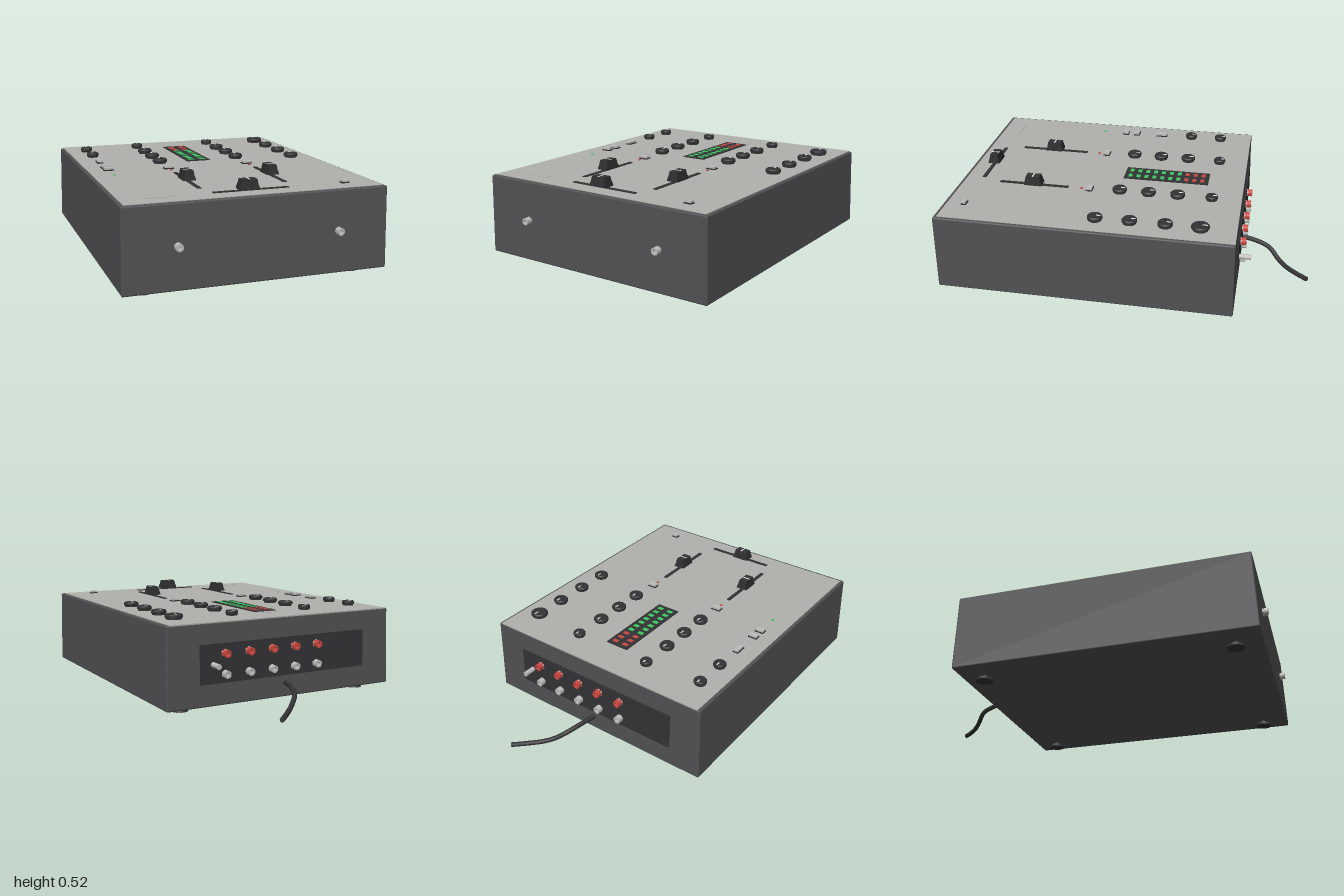
import * as THREE from 'three';
import { toCreasedNormals } from 'three/addons/utils/BufferGeometryUtils.js';
import { RoundedBoxGeometry } from 'three/addons/geometries/RoundedBoxGeometry.js';

const material = (name, color) => {
  const m = new THREE.MeshStandardMaterial({ color });
  m.name = name;
  return m;
};

const TOP = 0.458; // height of the control panel

export function createModel() {
  const model = new THREE.Group();
  model.name = 'audioMixer';

  const charcoal = material('charcoal', 0x525254);
  const panelGrey = material('panelGrey', 0xb0b0ad);
  const black = material('black', 0x333335);
  const silver = material('silver', 0xbcbcba);
  const white = material('white', 0xe4e4e4);
  const red = material('red', 0xcc4840);
  const green = material('green', 0x3ccc62);

  const add = (name, geometry, mat, x, y, z, parent = model) => {
    const mesh = new THREE.Mesh(geometry, mat);
    mesh.name = name;
    mesh.position.set(x, y, z);
    parent.add(mesh);
    return mesh;
  };
  const box = (name, w, h, d, mat, x, y, z, parent) =>
    add(name, new THREE.BoxGeometry(w, h, d), mat, x, y, z, parent);
  const lathe = (points, sides = 24) => toCreasedNormals(
    new THREE.LatheGeometry(points.map(p => new THREE.Vector2(...p)), sides), 0.5);

  // Scales a geometry inwards towards its top
  const taper = (geometry, height, kx, kz) => {
    const p = geometry.attributes.position;
    for (let i = 0; i < p.count; i++) {
      const t = p.getY(i) / height + 0.5;
      p.setX(i, p.getX(i) * (1 - kx * t));
      p.setZ(i, p.getZ(i) * (1 - kz * t));
    }
    return geometry;
  };

  // Case and control panel
  const caseShape = taper(new RoundedBoxGeometry(1.364, 0.42, 1.592, 2, 0.008), 0.42, 0.01, 0.012);
  add('case', caseShape, charcoal, 0, 0.245, 0.179);
  box('controlPanel', 1.318, 0.006, 1.552, panelGrey, 0, TOP - 0.003, 0.17);

  // Feet
  const footShape = lathe([[0, 0], [0.045, 0], [0.036, 0.018], [0.01, 0.018], [0.01, 0.037]]);
  for (const x of [-0.55, 0.55]) for (const z of [-0.485, 0.84]) add('foot', footShape, black, x, 0, z);

  // Rotary knobs with a pointer line
  const knob = (x, z, r) => {
    const group = new THREE.Group();
    group.name = 'knob';
    group.position.set(x, TOP, z);
    model.add(group);
    add('knobCap', lathe([[r * 0.88, 0], [r * 0.88, 0.007], [r, 0.009], [r, 0.02],
      [r * 0.88, 0.026], [0, 0.026]]), black, 0, 0, 0, group);
    box('knobPointer', 0.007, 0.003, r * 0.6, white, 0, 0.0265, -r * 0.5, group);
  };
  for (const x of [-0.23, 0.225]) {
    knob(x, -0.445, 0.033);
    for (const z of [-0.26, -0.1, 0.06]) knob(x, z, 0.04);
  }
  for (const z of [-0.42, -0.24]) knob(-0.55, z, 0.034);
  knob(0.545, -0.42, 0.047);
  for (const z of [-0.24, -0.055, 0.127]) knob(0.545, z, 0.04);

  // Level meter: two columns, three red rows above seven green ones
  box('levelMeter', 0.136, 0.004, 0.478, black, -0.003, TOP + 0.002, -0.168);
  for (let row = 0; row < 10; row++) {
    for (const x of [-0.035, 0.029]) {
      box('meterLight', 0.032, 0.003, 0.022, row < 3 ? red : green, x, TOP + 0.0048, -0.373 + row * 0.0455);
    }
  }
  box('meterLabel', 0.13, 0.002, 0.03, panelGrey, -0.003, TOP + 0.001, -0.445);
  box('frontLabel', 0.16, 0.002, 0.028, panelGrey, -0.46, TOP + 0.001, 0.85);

  // Push buttons and indicator lights
  const buttons = [
    [-0.55, -0.055, 0.032, 0.065], [-0.55, 0.103, 0.052, 0.035], [-0.55, 0.172, 0.052, 0.035],
    [-0.23, 0.228, 0.054, 0.036], [0.225, 0.228, 0.054, 0.036], [0.5, 0.85, 0.042, 0.027],
  ];
  for (const [x, z, w, d] of buttons) {
    box('buttonFrame', w, 0.006, d, black, x, TOP + 0.003, z);
    box('button', w - 0.006, 0.016, d - 0.006, silver, x, TOP + 0.008, z);
  }
  const dotShape = new THREE.CylinderGeometry(0.007, 0.007, 0.005, 12);
  add('powerLight', dotShape, green, -0.55, TOP + 0.0025, 0.31);
  for (const x of [-0.23, 0.225]) add('cueLight', dotShape, red, x, TOP + 0.0025, 0.275);

  // Faders: a slot with a tapered, lined cap; built along z and turned when needed
  const fader = (name, x, z, slotOffset, angle) => {
    const group = new THREE.Group();
    group.name = name;
    group.position.set(x, TOP, z);
    group.rotation.y = angle;
    model.add(group);
    box('faderSlot', 0.02, 0.004, 0.393, black, 0, 0.002, slotOffset, group);
    box('faderStem', 0.014, 0.02, 0.03, black, 0, 0.01, 0, group);
    add('faderBase', taper(new THREE.BoxGeometry(0.066, 0.018, 0.1), 0.018, 0.12, 0.05),
      black, 0, 0.017, 0, group);
    add('faderGrip', taper(new THREE.BoxGeometry(0.056, 0.034, 0.092), 0.034, 0.2, 0.15),
      black, 0, 0.041, 0, group);
    box('faderLine', 0.045, 0.003, 0.008, white, 0, 0.0575, 0, group);
  };
  fader('leftFader', -0.23, 0.547, 0, 0);
  fader('rightFader', 0.225, 0.547, 0, 0);
  fader('crossfader', -0.022, 0.85, 0.018, Math.PI / 2);

  // Sockets: a hollow barrel with a hexagonal nut, facing +z
  const socket = (name, mat, r, length, x, y, z, turn) => {
    const group = new THREE.Group();
    group.name = name;
    group.position.set(x, y, z);
    group.rotation.y = turn;
    model.add(group);
    const barrel = add('barrel', lathe([[r, 0], [r, length], [r * 0.55, length],
      [r * 0.55, length * 0.3], [0, length * 0.3]], 16), mat, 0, 0, 0, group);
    barrel.rotation.x = Math.PI / 2;
    const nut = add('nut', new THREE.CylinderGeometry(r * 1.1, r * 1.1, length * 0.3, 6),
      silver, 0, 0, length * 0.15, group);
    nut.rotation.x = Math.PI / 2;
  };
  for (const x of [-0.412, 0.41]) socket('frontSocket', silver, 0.019, 0.03, x, 0.25, 0.97, 0);

  // Rear connection plate, sockets and ground post
  const plate = box('rearPlate', 1.0, 0.2, 0.008, black, 0, 0.25, -0.616);
  plate.rotation.x = 0.023;
  for (let i = 0; i < 5; i++) {
    const x = -0.187 + i * 0.1373;
    socket('rearSocketRed', red, 0.02, 0.033, x, 0.3, -0.617, Math.PI);
    socket('rearSocketSilver', silver, 0.02, 0.033, x, 0.195, -0.617, Math.PI);
  }
  const post = add('groundPost', new THREE.CylinderGeometry(0.014, 0.014, 0.07, 16), silver, 0.43, 0.247, -0.648);
  post.rotation.x = Math.PI / 2;

  // Power cord
  const path = new THREE.CatmullRomCurve3([
    [0, 0.11, -0.61], [0.018, 0.105, -0.69], [0.05, 0.085, -0.775], [0.1, 0.05, -0.825],
    [0.15, 0.033, -0.87], [0.21, 0.031, -0.93], [0.265, 0.035, -0.99],
  ].map(p => new THREE.Vector3(...p)));
  add('powerCord', new THREE.TubeGeometry(path, 40, 0.013, 10), black, 0, 0, 0);
  const cordEnd = add('cordEnd', new THREE.CircleGeometry(0.013, 10), black, 0, 0, 0);
  cordEnd.position.copy(path.getPoint(1));
  cordEnd.lookAt(path.getPoint(1).add(path.getTangent(1)));

  return model;
}
